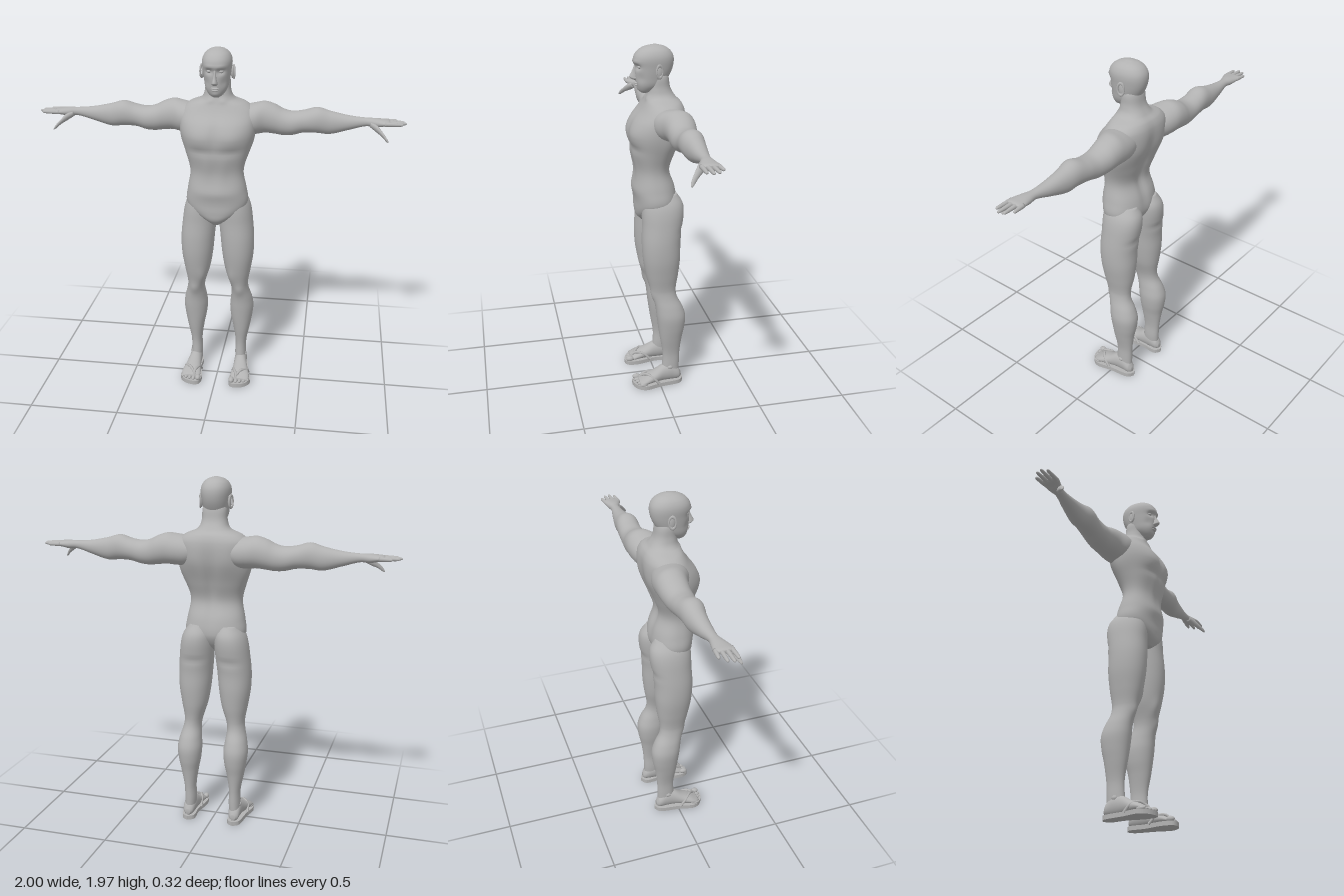
import * as THREE from 'three';

const skin = new THREE.MeshStandardMaterial({ color: 0xb2b2b2 });
skin.name = 'plain grey';

// Turn the faces outward if the enclosed volume is negative
function orient(geo) {
  const p = geo.attributes.position, idx = geo.index.array;
  const v = [0, 1, 2].map(() => new THREE.Vector3());
  let volume = 0;
  for (let i = 0; i < idx.length; i += 3) {
    v.forEach((q, k) => q.fromBufferAttribute(p, idx[i + k]));
    volume += v[0].dot(v[1].clone().cross(v[2]));
  }
  if (volume < 0) for (let i = 0; i < idx.length; i += 3) [idx[i], idx[i + 1]] = [idx[i + 1], idx[i]];
  geo.computeVertexNormals();
  return geo;
}

// Smooth value of column k between ring i and i + 1
function blend(rings, i, s, k) {
  const slope = (j) => {
    const a = rings[Math.max(j - 1, 0)], b = rings[Math.min(j + 1, rings.length - 1)];
    return (b[k] - a[k]) / (b[0] - a[0]);
  };
  const h = rings[i + 1][0] - rings[i][0], s2 = s * s, s3 = s2 * s;
  return (2 * s3 - 3 * s2 + 1) * rings[i][k] + (s3 - 2 * s2 + s) * h * slope(i)
    + (3 * s2 - 2 * s3) * rings[i + 1][k] + (s3 - s2) * h * slope(i + 1);
}

const along = {
  x: (t, a, b) => [t, a, b],
  y: (t, a, b) => [a, t, b],
  z: (t, a, b) => [a, b, t],
};

// Skin over rings [t, a0, a1, b0, b1]; bumps are [centre, size, push]
function loft(rings, axis, { power = 2, bumps = [], sides = 40, steps = 6 } = {}) {
  const pos = [], index = [], rows = [];
  for (let i = 0; i < rings.length - 1; i++)
    for (let s = 0; s < steps; s++) rows.push([0, 1, 2, 3, 4].map((k) => k ? blend(rings, i, s / steps, k)
      : THREE.MathUtils.lerp(rings[i][0], rings[i + 1][0], s / steps)));
  rows.push(rings[rings.length - 1]);
  const round = (c) => Math.sign(c) * Math.abs(c) ** (2 / power);
  const add = (t, a, b) => {
    const p = along[axis](t, a, b), q = [...p];
    for (const [c, size, push] of bumps) for (const m of c[0] ? [1, -1] : [1]) {
      const f = Math.exp(-c.reduce((d, v, k) => d + ((p[k] - (k ? v : v * m)) / size[k]) ** 2, 0));
      push.forEach((v, k) => { q[k] += f * (k ? v : v * m); });
    }
    pos.push(...q);
  };
  for (const [t, a0, a1, b0, b1] of rows) for (let j = 0; j < sides; j++) {
    const w = j / sides * Math.PI * 2;
    add(t, (a0 + a1) / 2 + (a1 - a0) / 2 * round(Math.cos(w)), (b0 + b1) / 2 + (b1 - b0) / 2 * round(Math.sin(w)));
  }
  const last = rows.length - 1, n = rows.length * sides;
  for (const r of [rows[0], rows[last]]) add(r[0], (r[1] + r[2]) / 2, (r[3] + r[4]) / 2);
  for (let j = 0; j < sides; j++) {
    const k = (j + 1) % sides;
    for (let i = 0; i < last; i++) {
      const a = i * sides + j, b = i * sides + k;
      index.push(a, b, a + sides, b, b + sides, a + sides);
    }
    index.push(n, k, j, n + 1, last * sides + j, last * sides + k);
  }
  const geo = new THREE.BufferGeometry();
  geo.setAttribute('position', new THREE.Float32BufferAttribute(pos, 3));
  geo.setIndex(index);
  return orient(geo);
}

const ball = (x, y, z, rx, ry, rz) => new THREE.SphereGeometry(1, 20, 14).scale(rx, ry, rz).translate(x, y, z);
const tube = (pts, r) => new THREE.TubeGeometry(
  new THREE.CatmullRomCurve3(pts.map((p) => new THREE.Vector3(...p))), 16, r, 8);

export function createModel() {
  const model = new THREE.Group();
  const put = (name, geo) => {
    const mesh = new THREE.Mesh(geo, skin);
    mesh.name = name;
    model.add(mesh);
  };
  const pair = (name, geo) => {
    put('left ' + name, geo);
    const other = geo.clone().scale(-1, 1, 1);
    put('right ' + name, orient(other));
  };

  // Torso and neck: height, half width, back, front
  const torso = [[0.995, 0.02, 0.02, 0.075], [1.03, 0.075, -0.05, 0.106], [1.07, 0.135, -0.09, 0.114],
    [1.12, 0.17, -0.112, 0.115], [1.2, 0.162, -0.105, 0.12], [1.3, 0.146, -0.075, 0.11],
    [1.4, 0.168, -0.105, 0.13], [1.5, 0.198, -0.14, 0.138], [1.57, 0.205, -0.152, 0.122],
    [1.63, 0.195, -0.152, 0.08], [1.668, 0.155, -0.138, 0.058], [1.695, 0.092, -0.112, 0.045],
    [1.74, 0.07, -0.085, 0.036], [1.8, 0.066, -0.074, 0.03], [1.84, 0.05, -0.06, 0.02]];
  put('torso', loft(torso.map(([y, w, b, f]) => [y, -w, w, b, f]), 'y', {
    power: 2.3, sides: 72, bumps: [
      [[0.09, 1.515, 0.13], [0.08, 0.06, 0.08], [0, -0.005, 0.014]], // chest muscles
      [[0, 1.52, 0.14], [0.02, 0.09, 0.06], [0, 0, -0.008]],
      [[0.08, 1.43, 0.13], [0.08, 0.02, 0.06], [0, 0, -0.007]],
      [[0.045, 1.33, 0.11], [0.03, 0.08, 0.05], [0, 0, 0.005]], // belly
      [[0.045, 1.19, 0.11], [0.1, 0.035, 0.05], [0, 0, 0.004]],
      [[0, 1.38, -0.12], [0.03, 0.2, 0.08], [0, 0, 0.02]], // spine groove
      [[0.1, 1.54, -0.15], [0.06, 0.08, 0.06], [0, 0, -0.007]], // shoulder blades
      [[0.17, 1.45, -0.05], [0.06, 0.08, 0.07], [0.012, 0, 0]], // flanks
      [[0.035, 1.69, 0.04], [0.025, 0.015, 0.04], [0, 0, 0.006]], // collar
    ] }));

  // Head: height, half width, back, front
  const head = [[1.716, 0.018, 0.035, 0.07], [1.73, 0.038, 0.005, 0.085], [1.76, 0.058, -0.045, 0.098],
    [1.8, 0.067, -0.076, 0.104], [1.85, 0.075, -0.098, 0.107], [1.9, 0.079, -0.102, 0.112],
    [1.935, 0.067, -0.085, 0.092], [1.957, 0.042, -0.053, 0.056], [1.967, 0.012, -0.016, 0.016]];
  put('head', loft(head.map(([y, w, b, f]) => [y, -w, w, b, f]), 'y', {
    power: 2.2, sides: 72, bumps: [
      [[0.032, 1.857, 0.1], [0.02, 0.014, 0.04], [0, 0, -0.015]], // eye sockets
      [[0.03, 1.882, 0.1], [0.03, 0.009, 0.04], [0, 0, 0.006]], // brow
      [[0.045, 1.8, 0.08], [0.018, 0.025, 0.04], [0, 0, -0.006]], // cheeks
      [[0, 1.735, 0.08], [0.02, 0.012, 0.03], [0, 0, 0.005]], // chin
    ] }));
  put('nose', loft([[1.786, -0.01, 0.01, 0.085, 0.112], [1.794, -0.017, 0.017, 0.085, 0.127],
    [1.803, -0.015, 0.015, 0.085, 0.135], [1.83, -0.009, 0.009, 0.085, 0.122],
    [1.865, -0.008, 0.008, 0.08, 0.108], [1.885, -0.009, 0.009, 0.08, 0.106]], 'y', { sides: 20 }));
  put('upper lip', ball(0, 1.771, 0.098, 0.023, 0.005, 0.013));
  put('lower lip', ball(0, 1.76, 0.096, 0.019, 0.006, 0.013));
  pair('eye', ball(0.031, 1.857, 0.083, 0.014, 0.009, 0.014));
  pair('ear', ball(0.079, 1.838, -0.008, 0.009, 0.035, 0.019).rotateY(0.04));
  pair('ear rim', new THREE.TorusGeometry(0.018, 0.005, 8, 24).scale(1, 1.75, 1)
    .rotateY(Math.PI / 2 + 0.3).translate(0.086, 1.838, -0.01));

  // Arm from shoulder to palm: x, bottom, top, back, front
  pair('arm', loft([[0.07, 1.53, 1.63, -0.12, 0.04], [0.14, 1.495, 1.652, -0.145, 0.05],
    [0.2, 1.495, 1.664, -0.157, 0.04], [0.25, 1.5, 1.67, -0.159, 0.015], [0.3, 1.496, 1.656, -0.155, 0.004],
    [0.35, 1.49, 1.632, -0.146, 0.001], [0.4, 1.493, 1.622, -0.14, 0], [0.46, 1.508, 1.63, -0.138, -0.008],
    [0.53, 1.51, 1.648, -0.132, -0.006], [0.6, 1.505, 1.63, -0.123, -0.018], [0.7, 1.532, 1.61, -0.106, -0.03],
    [0.79, 1.557, 1.602, -0.09, -0.038], [0.84, 1.555, 1.602, -0.097, -0.022],
    [0.88, 1.563, 1.599, -0.104, -0.009], [0.905, 1.568, 1.596, -0.106, -0.008],
    [0.916, 1.577, 1.59, -0.098, -0.018]], 'x', { power: 2.1 }));

  // Fingers: base z, tip x, tip z
  [['index finger', -0.019, 0.982, -0.018], ['middle finger', -0.044, 1, -0.046],
    ['ring finger', -0.069, 0.99, -0.075], ['little finger', -0.094, 0.955, -0.103]].forEach(([name, z, tip, tz]) => {
    const ring = (s, r) => {
      const c = THREE.MathUtils.lerp(z, tz, s);
      return [THREE.MathUtils.lerp(0.885, tip, s), 1.581 - r, 1.581 + r, c - r, c + r];
    };
    pair(name, loft([ring(0, 0.012), ring(0.45, 0.0105), ring(0.85, 0.0085), ring(0.96, 0.006), ring(1, 0.002)],
      'x', { sides: 14, steps: 4 }));
  });
  pair('thumb', loft([[0.81, 1.556, 1.59, -0.068, -0.03], [0.845, 1.535, 1.575, -0.046, -0.006],
    [0.875, 1.518, 1.545, -0.012, 0.016], [0.897, 1.499, 1.52, 0.012, 0.032],
    [0.908, 1.494, 1.502, 0.024, 0.034]], 'x', { sides: 18 }));

  // Leg: height, inner, outer, back, front
  pair('leg', loft([[0.05, 0.105, 0.165, -0.115, -0.01], [0.12, 0.1, 0.165, -0.118, -0.018],
    [0.2, 0.102, 0.166, -0.12, -0.02], [0.3, 0.088, 0.185, -0.132, -0.004], [0.37, 0.074, 0.198, -0.146, 0.006],
    [0.44, 0.068, 0.205, -0.15, 0.015], [0.5, 0.074, 0.196, -0.132, 0.022], [0.56, 0.08, 0.18, -0.102, 0.034],
    [0.61, 0.073, 0.175, -0.096, 0.048], [0.7, 0.045, 0.19, -0.11, 0.072], [0.8, 0.028, 0.205, -0.12, 0.089],
    [0.9, 0.018, 0.207, -0.122, 0.094], [1, 0.008, 0.198, -0.135, 0.09], [1.07, 0.004, 0.188, -0.143, 0.09],
    [1.12, 0.008, 0.172, -0.136, 0.085], [1.17, 0.03, 0.14, -0.105, 0.07]], 'y', {
    power: 2.15, bumps: [
      [[0.13, 0.575, 0.035], [0.028, 0.035, 0.04], [0, 0, 0.008]], // kneecap
      [[0.1, 0.97, -0.13], [0.08, 0.02, 0.05], [0, 0, 0.007]], // fold below the seat
      [[0.09, 0.66, 0.05], [0.025, 0.05, 0.05], [-0.006, 0, 0.005]], // inner thigh
    ] }));

  // Foot: z, inner, outer, bottom, top
  pair('foot', loft([[-0.128, 0.122, 0.15, 0.03, 0.06], [-0.112, 0.108, 0.166, 0.02, 0.09],
    [-0.07, 0.1, 0.171, 0.016, 0.125], [-0.02, 0.099, 0.175, 0.016, 0.118], [0.03, 0.097, 0.187, 0.016, 0.09],
    [0.08, 0.09, 0.2, 0.016, 0.068], [0.11, 0.092, 0.198, 0.016, 0.052], [0.125, 0.1, 0.186, 0.02, 0.044]], 'z'));
  for (let i = 0; i < 5; i++) {
    const r = i ? 0.0115 - i * 0.0006 : 0.016;
    pair('toe ' + (i + 1), ball(0.1 + i * 0.0225 + (i ? 0.004 : 0), 0.02 + r, 0.131 - i * i * 0.0018, r, r, 0.023));
  }
  pair('ankle bone', ball(0.162, 0.108, -0.06, 0.009, 0.013, 0.015));

  // Sandal sole and straps
  const outline = [[0.135, -0.14], [0.1, -0.11], [0.102, -0.02], [0.082, 0.08], [0.09, 0.143], [0.125, 0.159],
    [0.178, 0.14], [0.208, 0.09], [0.188, 0], [0.172, -0.11]].map(([x, z]) => new THREE.Vector2(x, z));
  const edge = new THREE.SplineCurve([...outline, outline[0]]).getPoints(60);
  pair('sandal sole', indexed(new THREE.ExtrudeGeometry(new THREE.Shape(edge), { depth: 0.024, bevelEnabled: false })
    .rotateX(Math.PI / 2).translate(0, 0.024, 0)));
  pair('inner strap', tube([[0.123, 0.025, 0.128], [0.122, 0.062, 0.1], [0.103, 0.062, 0.05], [0.095, 0.02, 0.005]], 0.008));
  pair('outer strap', tube([[0.123, 0.05, 0.11], [0.15, 0.073, 0.08], [0.183, 0.06, 0.045], [0.189, 0.02, 0.01]], 0.008));
  return model;
}

// Give a plain triangle list an index so that it can be mirrored
function indexed(geo) {
  geo.setIndex([...Array(geo.attributes.position.count).keys()]);
  geo.clearGroups();
  return geo;
}
